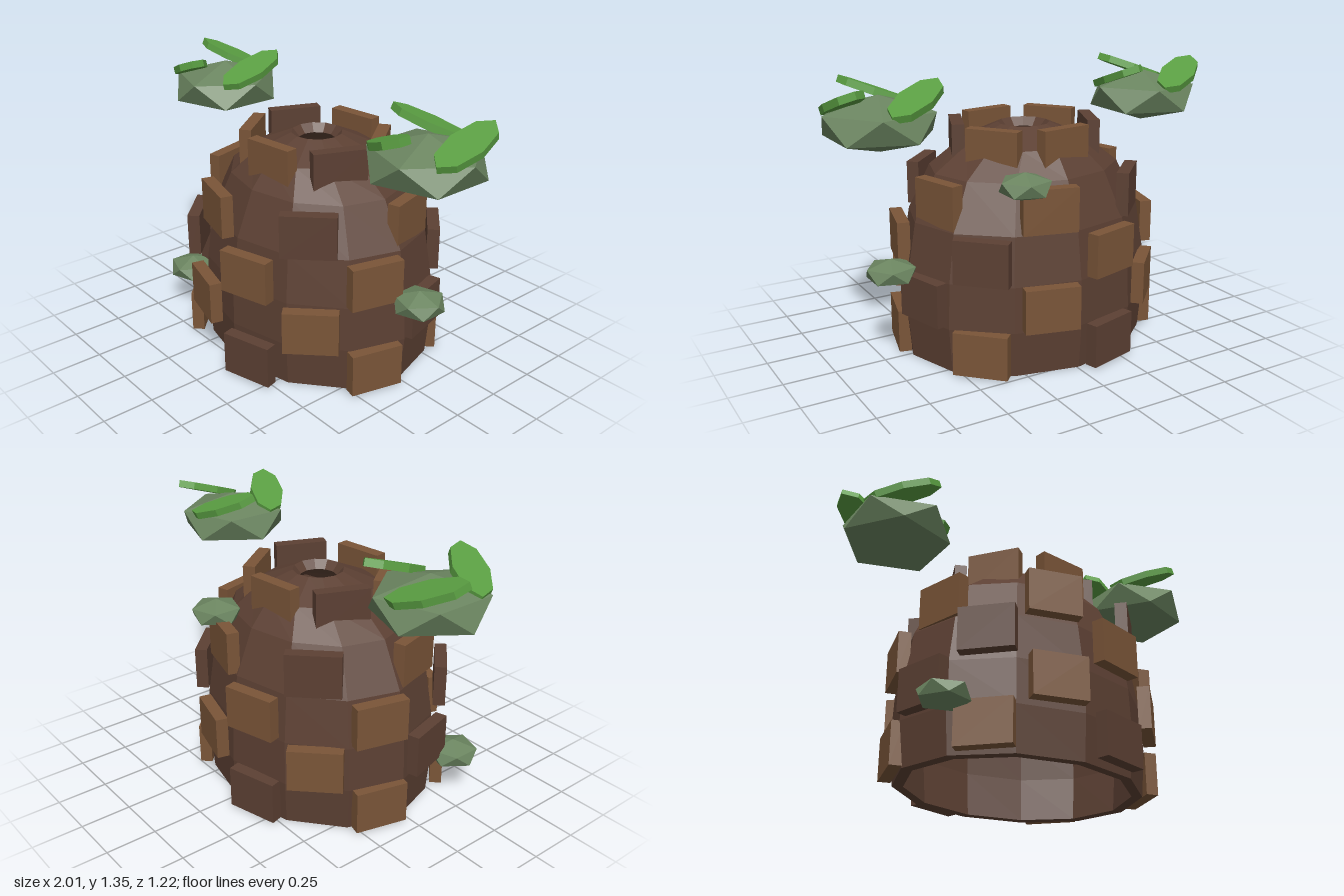
import * as THREE from 'three';

const bark = new THREE.MeshStandardMaterial({ color: 0x5c4033 });
const brick = new THREE.MeshStandardMaterial({ color: 0x7a5538 });
const moss = new THREE.MeshStandardMaterial({ color: 0x6b8560 });
const leaf = new THREE.MeshStandardMaterial({ color: 0x5a9e42 });
bark.name = 'dark brown';
brick.name = 'light brown';
moss.name = 'moss green';
leaf.name = 'leaf green';

const rad = THREE.MathUtils.degToRad;

// Split the faces apart so that every facet is flat
function faceted(geometry) {
  const g = geometry.index ? geometry.toNonIndexed() : geometry;
  g.computeVertexNormals();
  return g;
}

function add(parent, name, geometry, material) {
  const mesh = new THREE.Mesh(geometry, material);
  mesh.name = name;
  parent.add(mesh);
  return mesh;
}

// Hollow oval dome with a round hole on top and an open bottom
function domeGeometry() {
  const profile = [
    [0.62, 0], [0.64, 0.22], [0.63, 0.44], [0.59, 0.67], [0.48, 0.89], [0.31, 1.01], [0.125, 1.09],
    [0.09, 1.05], [0.28, 0.96], [0.43, 0.85], [0.54, 0.65], [0.58, 0.44], [0.585, 0.22], [0.565, 0], [0.62, 0],
  ].map(([r, y]) => new THREE.Vector2(r, y));
  const g = new THREE.LatheGeometry(profile, 12);
  const p = g.attributes.position;
  for (let i = 0; i < p.count; i++) {
    // Oval at the base, round at the hole
    const round = THREE.MathUtils.smoothstep(p.getY(i), 0.9, 1.06);
    p.setZ(i, p.getZ(i) * THREE.MathUtils.lerp(0.83, 1, round));
  }
  return faceted(g);
}

// Icosahedron standing on one corner
function lumpGeometry() {
  const g = new THREE.IcosahedronGeometry(1, 0);
  g.rotateZ(-Math.atan(2 / (1 + Math.sqrt(5))));
  return faceted(g);
}

export function createModel() {
  const model = new THREE.Group();
  model.name = 'mossyHive';

  add(model, 'dome', domeGeometry(), bark).position.set(-0.01, 0, -0.018);

  // Five rows of staggered bricks: first angle, x radius, z radius
  const bricks = new THREE.Group();
  bricks.name = 'bricks';
  bricks.position.set(-0.012, 0, 0);
  model.add(bricks);
  const brickGeo = new THREE.BoxGeometry(0.26, 0.21, 0.06);
  const rows = [
    [15, 0.633, 0.56], [105, 0.638, 0.567], [135, 0.622, 0.56], [45, 0.537, 0.498], [67, 0.33, 0.3],
  ];
  rows.forEach(([start, rx, rz], row) => {
    for (let i = 0; i < 6; i++) {
      const a = rad(start + i * 60);
      // Every third brick is dark
      const mesh = add(bricks, 'brick', brickGeo, i % 3 === 0 ? bark : brick);
      mesh.position.set(rx * Math.sin(a), 0.115 + row * 0.2225, rz * Math.cos(a) - (row === 4 ? 0.01 : 0));
      mesh.rotation.y = a;
    }
  });

  // Small moss lumps on the wall
  const lumpGeo = lumpGeometry();
  const lumps = [[-0.625, 0.225, 0.335], [0.71, 0.45, -0.02], [0.235, 0.9, -0.447]];
  for (const [x, y, z] of lumps) {
    const lump = add(model, 'mossLump', lumpGeo, moss);
    lump.position.set(x, y, z);
    lump.scale.set(0.133, 0.065, 0.133);
  }

  // Floating bushes, each with three tilted leaves
  const leafGeo = new THREE.CylinderGeometry(1, 1, 1, 8);
  leafGeo.scale(0.086, 0.035, 0.185);
  const flatLeaf = faceted(leafGeo);
  for (const x of [-0.735, 0.73]) {
    const bush = new THREE.Group();
    bush.name = 'bush';
    bush.position.set(x, 1.155, 0);
    model.add(bush);
    add(bush, 'bushBody', lumpGeo, moss).scale.set(0.295, 0.13, 0.295);
    for (let i = 0; i < 3; i++) {
      const arm = new THREE.Group();
      arm.name = 'leafArm';
      arm.rotation.y = rad(120 * i);
      bush.add(arm);
      const blade = add(arm, 'leaf', flatLeaf, leaf);
      blade.position.set(0.182, 0.115, -0.035);
      blade.rotation.set(rad(19), 0, rad(-9));
    }
  }
  return model;
}
